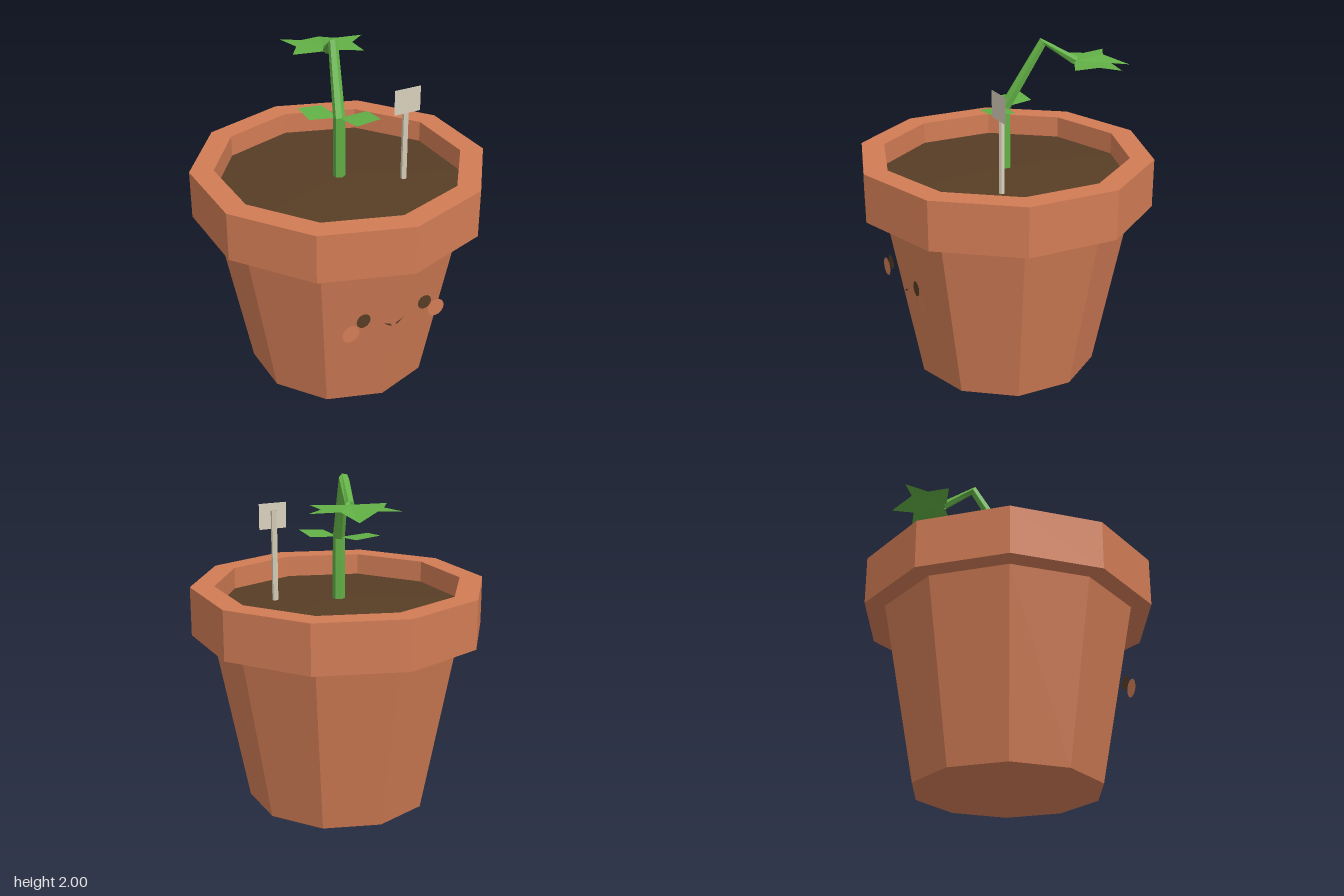
import * as THREE from 'three';

const material = (name, color, side = THREE.DoubleSide) => {
  const m = new THREE.MeshStandardMaterial({ color, flatShading: true, side });
  m.name = name;
  return m;
};

// Straight-jointed path, so that a tube gets mitred bends
class Polyline extends THREE.Curve {
  constructor(points) {
    super();
    this.points = points;
  }
  getPoint(t) {
    const n = this.points.length - 1;
    const i = Math.min(Math.floor(t * n), n - 1);
    return this.points[i].clone().lerp(this.points[i + 1], t * n - i);
  }
  getPointAt(t) { return this.getPoint(t); }
  getTangentAt(t) { return this.getTangent(t); }
}

// Tube along a polyline with its own radius at each joint
function taperedTube(points, radii, sides) {
  const geo = new THREE.TubeGeometry(new Polyline(points), points.length - 1, 1, sides, false);
  const pos = geo.attributes.position;
  const v = new THREE.Vector3();
  for (let i = 0; i < pos.count; i++) {
    const ring = Math.floor(i / (sides + 1));
    v.fromBufferAttribute(pos, i).sub(points[ring]).multiplyScalar(radii[ring]).add(points[ring]);
    pos.setXYZ(i, v.x, v.y, v.z);
  }
  geo.computeVertexNormals();
  return geo;
}

// Leaf made of triangles fanned out from a hub; the first corner is the hub
function fan(corners, closed) {
  const geo = new THREE.BufferGeometry();
  const index = [];
  const n = corners.length - 1;
  for (let i = 1; i < n; i++) index.push(0, i, i + 1);
  if (closed) index.push(0, n, 1);
  geo.setAttribute('position', new THREE.Float32BufferAttribute(corners.flat(), 3));
  geo.setIndex(index);
  const flat = geo.toNonIndexed();
  flat.computeVertexNormals();
  return flat;
}

export function createModel() {
  const model = new THREE.Group();
  model.name = 'pottedSprout';
  const clay = material('terracotta', 0xd17c55);
  const soil = material('darkBrown', 0x573d25);
  const green = material('leafGreen', 0x62b046);
  const wood = material('paleWood', 0xd9d0bb);

  const add = (name, geo, mat, x = 0, y = 0, z = 0) => {
    const mesh = new THREE.Mesh(geo, mat);
    mesh.name = name;
    mesh.position.set(x, y, z);
    model.add(mesh);
    return mesh;
  };

  // Ten-sided pot with a thick rim
  const profile = [[0, 0], [0.55, 0], [0.75, 1.04], [0.87, 1.04], [0.87, 1.33], [0.73, 1.33], [0.73, 1.15]];
  add('pot', new THREE.LatheGeometry(profile.map(([r, y]) => new THREE.Vector2(r, y)), 10), clay);

  // Slightly mounded soil
  add('soil', new THREE.ConeGeometry(0.73, 0.035, 10, 1, true), soil, 0, 1.2175, 0);

  // Face: flat discs and a crescent smile
  for (const side of [-1, 1]) {
    add(side > 0 ? 'leftEye' : 'rightEye', new THREE.CircleGeometry(0.045, 12), soil, side * 0.2, 0.667, 0.661);
    add(side > 0 ? 'leftCheek' : 'rightCheek', new THREE.CircleGeometry(0.055, 16), clay, side * 0.28, 0.603, 0.66);
  }
  const smile = new THREE.Shape();
  smile.moveTo(-0.065, 0.607);
  smile.quadraticCurveTo(0, 0.528, 0.065, 0.607);
  smile.quadraticCurveTo(0, 0.56, -0.065, 0.607);
  add('mouth', new THREE.ShapeGeometry(smile, 6), soil, 0, 0, 0.656);

  // Bent stem
  const joints = [[0, 1.2, 0], [0, 1.6, 0], [0.07, 1.975, -0.205], [0.125, 1.86, -0.385]];
  add('stem', taperedTube(joints.map(p => new THREE.Vector3(...p)), [0.038, 0.035, 0.029, 0.027], 6), green);

  // Pair of small square leaves at the first bend
  const leaf = [[0, 1.6, 0], [0.02, 1.612, 0.173], [0.175, 1.625, 0.173], [0.175, 1.612, 0.018]];
  add('leftSmallLeaf', fan(leaf), green);
  add('rightSmallLeaf', fan(leaf), green, 0, 0, -0.01).rotation.y = Math.PI;

  // Star-shaped top leaf with a drooping tip
  const y = 1.857;
  add('starLeaf', fan([
    [0.13, y, -0.39],
    [0.166, y, -0.36], [0.315, y, -0.277], [0.32, y, -0.43], [0.43, y, -0.513], [0.26, y, -0.545],
    [0.226, 1.823, -0.693], [0.07, y, -0.605], [-0.046, y, -0.674], [-0.01, y, -0.522], [-0.088, y, -0.41],
  ], true), green);

  // Plant marker
  add('markerPost', new THREE.CylinderGeometry(0.018, 0.018, 0.55, 6, 1, true), wood, 0.33, 1.475, 0.182);
  add('markerPlate', new THREE.PlaneGeometry(0.17, 0.152), wood, 0.33, 1.716, 0.201);

  return model;
}
